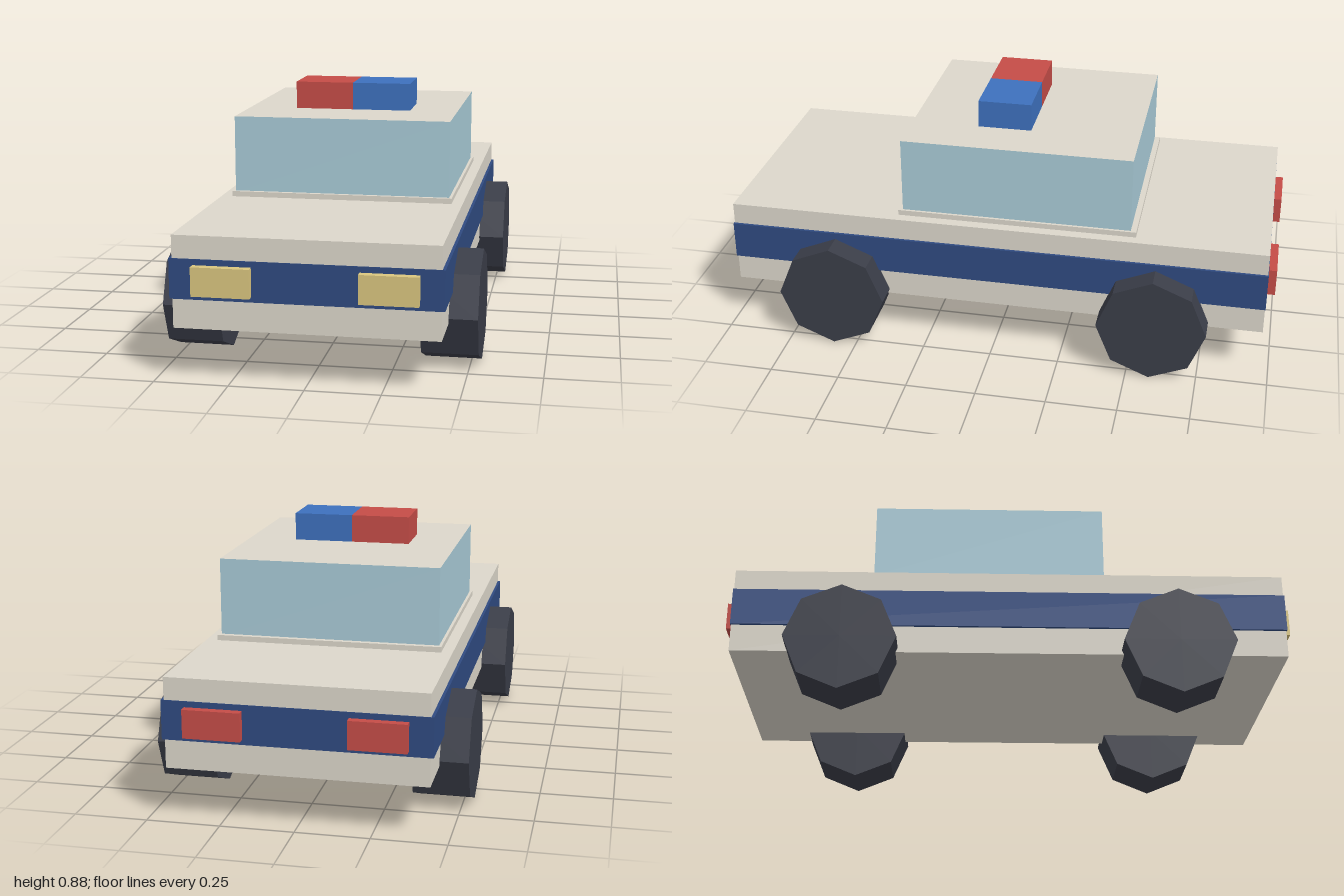
import * as THREE from 'three';

const paint = (color) => new THREE.MeshStandardMaterial({ color, flatShading: true });

export function createModel() {
  const car = new THREE.Group();
  car.name = 'patrolCar';

  const cream = paint(0xdbd6ca);
  const navy = paint(0x2f4a80);
  const glass = paint(0xa8cad6);
  const rubber = paint(0x3a3d48);
  const red = paint(0xc44c47);
  const blue = paint(0x3d70bd);
  const yellow = paint(0xd9c57e);

  // Box given by its lower and upper limits on each axis
  function box(name, material, [x0, x1], [y0, y1], [z0, z1]) {
    const mesh = new THREE.Mesh(new THREE.BoxGeometry(x1 - x0, y1 - y0, z1 - z0), material);
    mesh.position.set((x0 + x1) / 2, (y0 + y1) / 2, (z0 + z1) / 2);
    mesh.name = name;
    car.add(mesh);
    return mesh;
  }

  // Body with a stripe standing slightly proud all round
  box('body', cream, [-0.437, 0.437], [0.177, 0.487], [-0.97, 0.97]);
  box('stripe', navy, [-0.447, 0.447], [0.275, 0.41], [-0.972, 0.972]);

  // Cabin: glass sides, painted roof, on a low sill
  box('cabinSill', cream, [-0.398, 0.398], [0.48, 0.506], [-0.505, 0.355]);
  const cabinSides = [glass, glass, cream, cream, glass, glass];
  box('cabin', cabinSides, [-0.388, 0.388], [0.5, 0.777], [-0.485, 0.34]);

  // Roof beacon
  box('beaconRight', red, [-0.213, 0], [0.777, 0.876], [-0.096, 0.096]);
  box('beaconLeft', blue, [0, 0.213], [0.777, 0.876], [-0.096, 0.096]);

  // Octagonal wheels and lamps, mirrored left and right
  const wheelGeometry = new THREE.CylinderGeometry(0.194, 0.194, 0.193, 8).rotateZ(Math.PI / 2);
  for (const [side, label] of [[1, 'Left'], [-1, 'Right']]) {
    const span = side > 0 ? [0.175, 0.368] : [-0.368, -0.175];
    box('headlight' + label, yellow, span, [0.293, 0.39], [0.94, 1]);
    box('tailLight' + label, red, span, [0.293, 0.39], [-1, -0.94]);

    for (const [z, end] of [[0.583, 'front'], [-0.583, 'rear']]) {
      const wheel = new THREE.Mesh(wheelGeometry, rubber);
      wheel.position.set(side * 0.437, 0.194, z);
      wheel.name = end + 'Wheel' + label;
      car.add(wheel);
    }
  }

  return car;
}
